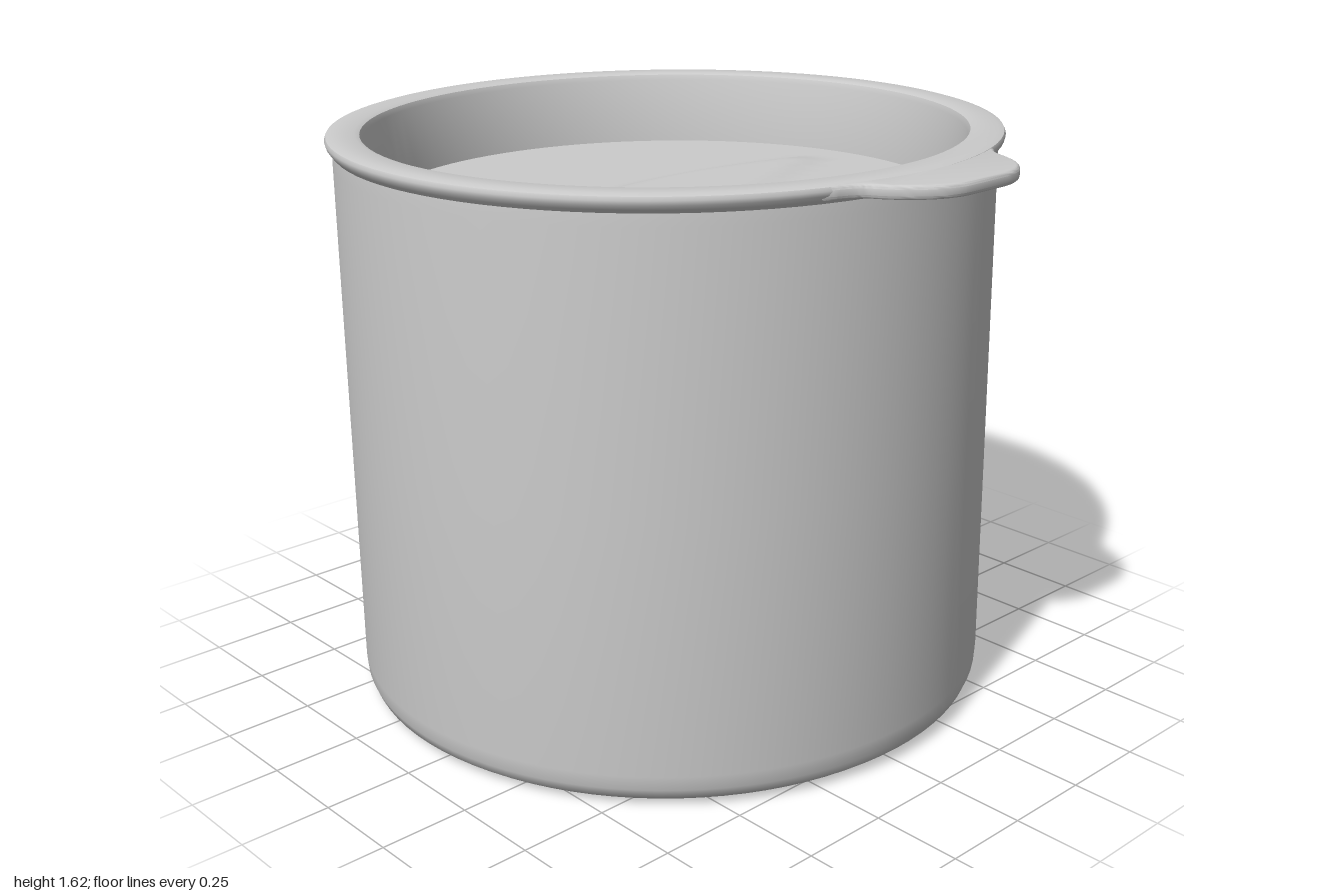
import * as THREE from 'three';
import { toCreasedNormals } from 'three/addons/utils/BufferGeometryUtils.js';

const SEGMENTS = 96;
const material = new THREE.MeshStandardMaterial({ color: 0xcccccc, side: THREE.DoubleSide });

function addMesh(group, name, geometry) {
  const mesh = new THREE.Mesh(geometry, material);
  mesh.name = name;
  group.add(mesh);
  return mesh;
}

// Turned part from [radius, height] pairs, running from the bottom outwards
function turned(profile) {
  const points = profile.map(([r, y]) => new THREE.Vector2(r, y));
  return toCreasedNormals(new THREE.LatheGeometry(points, SEGMENTS), 0.7);
}

// Lid floor: a disc with a low, lens-shaped grip raised across it
function lidFloorGeometry() {
  const geometry = new THREE.RingGeometry(0.001, 0.815, SEGMENTS, 40);
  geometry.rotateX(-Math.PI / 2);
  const pos = geometry.attributes.position;
  const tilt = 0.1;
  for (let i = 0; i < pos.count; i++) {
    const x = pos.getX(i), z = pos.getZ(i);
    const along = x * Math.cos(tilt) - z * Math.sin(tilt);
    const across = x * Math.sin(tilt) + z * Math.cos(tilt);
    const halfWidth = Math.max(0, 0.2 * (1 - (along / 0.76) ** 2));
    const inside = THREE.MathUtils.smoothstep(halfWidth - Math.abs(across), 0, 0.08);
    pos.setY(i, 0.018 * inside);
  }
  geometry.computeVertexNormals();
  return geometry;
}

// Pull tab: rounded tongue reaching forward from the rim
function tabGeometry() {
  const shape = new THREE.Shape();
  shape.moveTo(-0.29, 0.80);
  shape.quadraticCurveTo(-0.20, 0.825, -0.19, 0.86);
  shape.bezierCurveTo(-0.15, 0.93, -0.08, 0.985, 0.0, 0.987);
  shape.lineTo(0.14, 0.984);
  shape.bezierCurveTo(0.24, 0.975, 0.27, 0.91, 0.30, 0.84);
  shape.quadraticCurveTo(0.32, 0.785, 0.40, 0.75);
  shape.quadraticCurveTo(0.06, 0.87, -0.29, 0.80);
  const geometry = new THREE.ExtrudeGeometry(shape, {
    depth: 0.016, bevelThickness: 0.01, bevelSize: 0.01, bevelSegments: 3, curveSegments: 12,
  });
  geometry.rotateX(Math.PI / 2); // the outline now lies flat, facing forward
  geometry.translate(0, 1.611, 0);
  return toCreasedNormals(geometry, 0.7);
}

export function createModel() {
  const model = new THREE.Group();
  model.name = 'lidded canister';

  // The canister leans very slightly back and to its right
  const canister = new THREE.Group();
  canister.name = 'canister';
  canister.position.set(0.009, 0, -0.06);
  canister.rotation.set(-0.006, 0, 0.006);
  model.add(canister);

  // Body with a rounded foot and a deeply hollowed base
  addMesh(canister, 'body', turned([
    [0, 0.15], [0.79, 0.15], [0.805, 0.06], [0.82, 0.03], [0.85, 0.014],
    [0.878, 0.018], [0.898, 0.033], [0.909, 0.06], [0.912, 0.10],
    [0.91, 0.8], [0.908, 1.54], [0.906, 1.575],
  ]));

  // Overhanging lid rim running down into the sunken wall
  addMesh(canister, 'lidRim', turned([
    [0.904, 1.57], [0.914, 1.582], [0.923, 1.594], [0.926, 1.606], [0.922, 1.615],
    [0.905, 1.62], [0.845, 1.62], [0.832, 1.615], [0.826, 1.60], [0.812, 1.405],
  ]));

  addMesh(canister, 'lidFloor', lidFloorGeometry()).position.y = 1.407;
  addMesh(model, 'pullTab', tabGeometry());

  return model;
}
